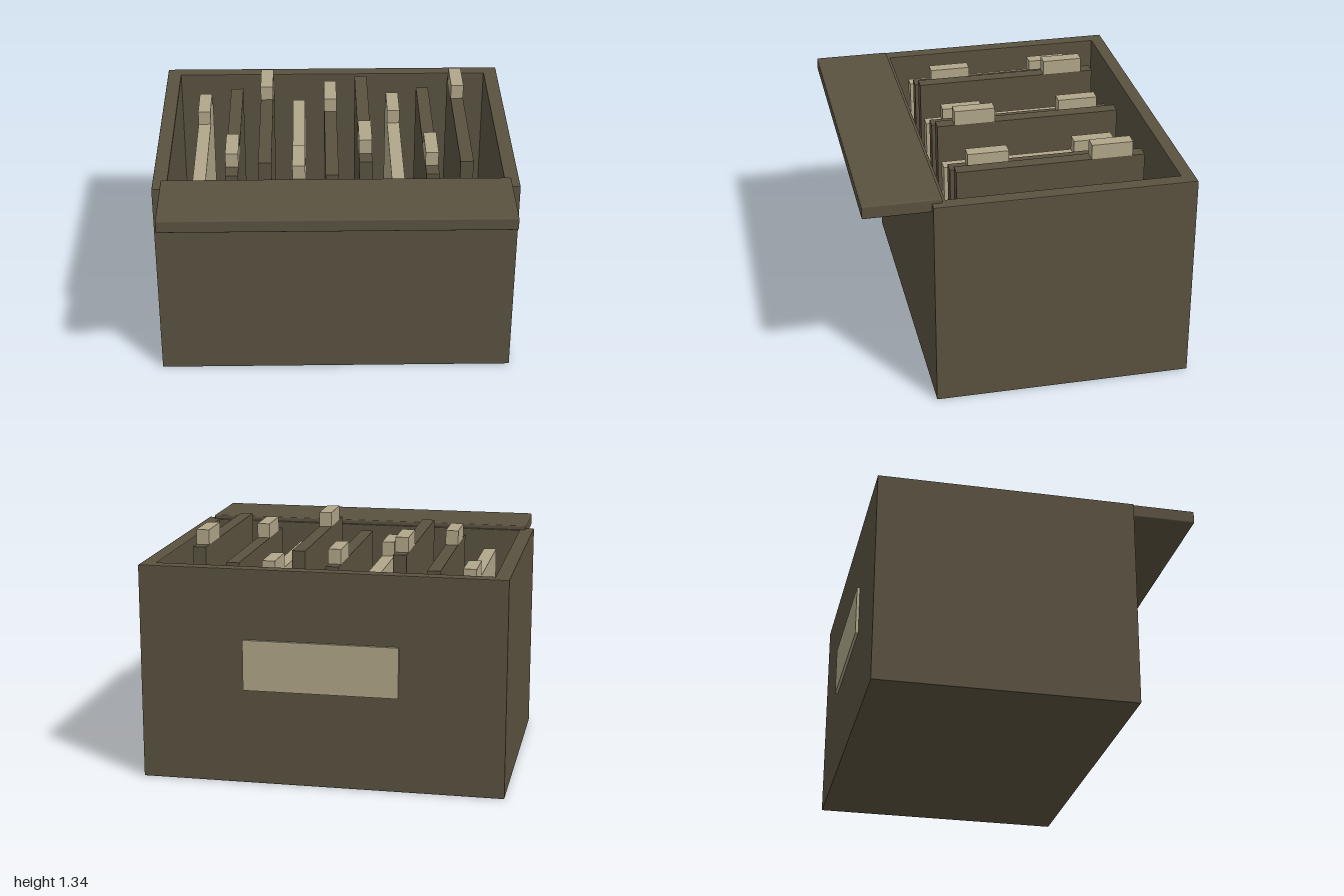
import * as THREE from 'three';
import { RoundedBoxGeometry } from 'three/addons/geometries/RoundedBoxGeometry.js';

const dark = new THREE.MeshStandardMaterial({ color: 0x5a5240 });
const light = new THREE.MeshStandardMaterial({ color: 0xb1a689 });

// Box given by its min and max along each axis; a radius rounds the edges.
function block(name, material, [x0, x1], [y0, y1], [z0, z1], radius = 0) {
  const size = [x1 - x0, y1 - y0, z1 - z0];
  const geometry = radius
    ? new RoundedBoxGeometry(...size, 2, radius)
    : new THREE.BoxGeometry(...size);
  const mesh = new THREE.Mesh(geometry, material);
  mesh.position.set((x0 + x1) / 2, (y0 + y1) / 2, (z0 + z1) / 2);
  mesh.name = name;
  return mesh;
}

// Counter-clockwise rectangle in plan, with z turned to -y for the extrusion
function rectangle(Path, x, z0, z1) {
  return new Path([[-x, z1], [x, z1], [x, z0], [-x, z0]].map(([a, b]) => new THREE.Vector2(a, -b)));
}

export function createModel() {
  const model = new THREE.Group();
  model.name = 'fileBox';

  // Open-topped case: one extruded wall ring with softened rims, and a floor set into it
  const bevel = 0.005;
  const outline = rectangle(THREE.Shape, 1, -0.887, 0.537);
  outline.holes.push(rectangle(THREE.Path, 0.92, -0.812, 0.46));
  const ring = new THREE.ExtrudeGeometry(outline, {
    depth: 1.198 - 2 * bevel,
    bevelThickness: bevel,
    bevelSize: bevel,
    bevelOffset: -bevel,
    bevelSegments: 2,
  });
  ring.rotateX(-Math.PI / 2).translate(0, bevel, 0);
  const walls = new THREE.Mesh(ring, dark);
  walls.name = 'walls';
  model.add(walls);
  model.add(block('floor', dark, [-0.93, 0.93], [0.001, 0.07], [-0.822, 0.47]));

  // Lid folded out over the front wall
  model.add(block('lid', dark, [-0.953, 0.953], [1.148, 1.222], [0.48, 0.903], 0.008));

  // Label plate on the back
  model.add(block('labelPlate', light, [-0.425, 0.425], [0.53, 0.81], [-0.903, -0.88]));

  // Nine folders in three repeating heights, with tabs alternating back and front
  for (let i = 0; i < 9; i++) {
    const x = -0.759 + i * 0.185;
    const top = 1.1 + (i % 3) * 0.08;
    const width = [x - 0.036, x + 0.036];
    const tabZ = i % 2 ? [0.045, 0.273] : [-0.592, -0.366];
    const folder = new THREE.Group();
    folder.name = `folder${i + 1}`;
    folder.add(
      block('folderBody', i % 3 ? dark : light, width, [0.07, top], [-0.66, 0.37]),
      block('folderTab', light, width, [top, top + 0.083], tabZ),
    );
    model.add(folder);
  }
  return model;
}
